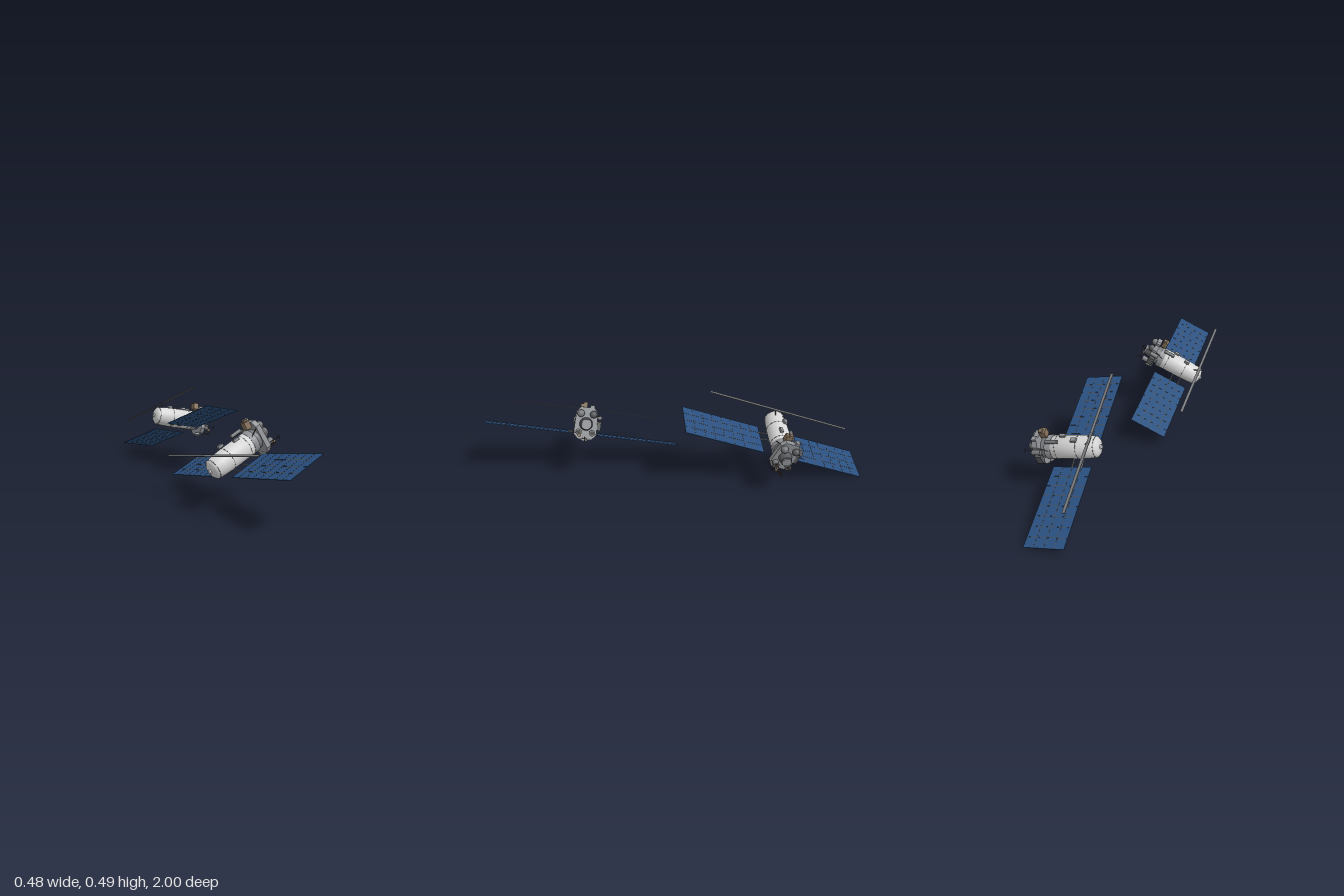
import * as THREE from 'three';

const mat = (name, color) => {
  const m = new THREE.MeshStandardMaterial({ color });
  m.name = name;
  return m;
};

export function createModel() {
  const white = mat('hull white', 0xd6d6d6);
  const grey = mat('mid grey', 0x8f9296);
  const steel = mat('steel grey', 0x75777a);
  const dark = mat('dark grey', 0x56585b);
  const black = mat('charcoal', 0x3a3530);
  const blue = mat('solar blue', 0x295080);
  const rib = mat('rib brown', 0x554a40);
  const brown = mat('foil brown', 0x84705a);
  const rust = mat('antenna brown', 0x5f4a3a);

  // Local frame of one satellite: x along the hull, y up, z along the solar wings
  function buildSatellite() {
    const g = new THREE.Group();
    const add = (name, geo, m, x = 0, y = 0, z = 0) => {
      const mesh = new THREE.Mesh(geo, m);
      mesh.name = name;
      mesh.position.set(x, y, z);
      g.add(mesh);
      return mesh;
    };
    const box = (name, m, sx, sy, sz, x, y, z) => add(name, new THREE.BoxGeometry(sx, sy, sz), m, x, y, z);
    const cylX = (name, m, r0, r1, len, x, y, z, seg = 20) =>
      add(name, new THREE.CylinderGeometry(r1, r0, len, seg).rotateZ(-Math.PI / 2), m, x, y, z);
    const rod = (name, m, a, b, r = 0.0015) => {
      const p = new THREE.Vector3(...a), q = new THREE.Vector3(...b), d = q.clone().sub(p);
      const mesh = add(name, new THREE.CylinderGeometry(r, r, d.length(), 6), m);
      mesh.position.copy(p).add(q).multiplyScalar(0.5);
      mesh.quaternion.setFromUnitVectors(new THREE.Vector3(0, 1, 0), d.normalize());
    };
    const AXIS = 0.06; // hull axis height

    // Hull: blunt domed tail and straight barrel
    const profile = [[0, -0.147], [0.02, -0.145], [0.038, -0.139], [0.05, -0.128], [0.0535, -0.09],
      [0.056, -0.04], [0.056, 0.1], [0, 0.1]].map(p => new THREE.Vector2(...p));
    add('hull', new THREE.LatheGeometry(profile, 36).rotateZ(-Math.PI / 2), white, 0, AXIS, 0);
    cylX('tailCap', white, 0.01, 0.011, 0.008, -0.149, AXIS, 0);
    cylX('neck', grey, 0.058, 0.058, 0.03, 0.105, AXIS, 0, 32);
    cylX('neckRear', steel, 0.05, 0.05, 0.03, 0.13, AXIS, 0, 32);

    // Hull bands with bolts
    for (const [x, r] of [[-0.127, 0.0507], [-0.04, 0.0565], [0.068, 0.0565]]) {
      cylX('hullBand', grey, r, r, 0.003, x, AXIS, 0, 36);
      for (let i = 0; i < 18; i++) {
        const a = i / 18 * Math.PI * 2;
        box('bandBolt', rib, 0.0025, 0.0025, 0.0025, x, AXIS + Math.cos(a) * r, Math.sin(a) * r);
      }
    }

    // Solar wings with cell grid on both faces
    for (const s of [-1, 1]) {
      const L = 0.435, mid = s * (0.073 + L / 2);
      box('solarPanel', blue, 0.2, 0.003, L, 0, 0, mid);
      for (let i = 1; i < 4; i++)
        box('panelRib', rib, 0.0018, 0.0042, L, -0.1 + i * 0.05, 0, mid);
      for (let i = 1; i < 8; i++)
        box('panelCrossRib', rib, 0.2, 0.0042, 0.0018, 0, 0, s * (0.073 + i * L / 8));
      for (const x of [-0.05, 0.0])
        rod('wingStrut', grey, [x, 0.012, 0], [x, 0.001, s * 0.08], 0.0035);
    }

    // Long radar strip over the tail
    const boom = [-0.115, 0.126];
    box('radarBoom', steel, 0.0145, 0.003, 0.81, boom[0], boom[1], 0);
    for (const s of [-1, 1])
      rod('boomBracket', dark, [-0.09, 0.105, s * 0.02], [boom[0], boom[1], s * 0.03], 0.003);

    // Equipment on top of the hull
    cylX('topCanister', steel, 0.009, 0.009, 0.06, 0.075, 0.128, -0.024, 14);
    for (const x of [0.052, 0.098]) rod('canisterPost', dark, [x, 0.108, -0.02], [x, 0.128, -0.024], 0.003);
    box('topBox', grey, 0.028, 0.012, 0.02, -0.035, 0.126, -0.012);
    rod('topBoxPost', dark, [-0.035, 0.11, -0.012], [-0.035, 0.122, -0.012], 0.003);
    box('sideBox', grey, 0.03, 0.012, 0.016, 0.035, 0.118, 0.022);
    box('foilBox', brown, 0.03, 0.036, 0.034, 0.122, 0.143, 0.018);
    box('foilBoxLid', brown, 0.018, 0.01, 0.02, 0.128, 0.165, 0.012);

    // Eight-sided bulkhead at the instrument end
    const oct = [[-0.058, 0.005], [-0.035, -0.02], [0.035, -0.02], [0.058, 0.005],
      [0.055, 0.12], [0.035, 0.145], [-0.035, 0.145], [-0.055, 0.12]].map(p => new THREE.Vector2(...p));
    const plate = new THREE.ExtrudeGeometry(new THREE.Shape(oct), { depth: 0.026, bevelEnabled: false });
    add('bulkhead', plate.rotateY(Math.PI / 2), grey, 0.143, 0, 0);

    // Instruments behind the bulkhead
    cylX('mainInstrument', dark, 0.034, 0.028, 0.034, 0.186, AXIS, 0, 20);
    cylX('mainInstrumentRim', grey, 0.024, 0.024, 0.008, 0.206, AXIS, 0, 20);
    for (const s of [-1, 1]) {
      add('upperTank', new THREE.SphereGeometry(0.019, 16, 12), s < 0 ? dark : steel, 0.178, 0.112, s * 0.032);
      cylX('lowerSensor', steel, 0.014, 0.016, 0.03, 0.184, 0.018, s * 0.034, 16);
      cylX('sensorLens', black, 0.01, 0.01, 0.003, 0.2, 0.018, s * 0.034, 16);
      rod('bulkheadBrace', dark, [0.1, 0.09, s * 0.05], [0.15, 0.118, s * 0.053], 0.002);
    }

    // Gear on the far flank
    box('flankBox', dark, 0.032, 0.045, 0.02, 0.152, 0.055, -0.067);
    cylX('flankTank', steel, 0.012, 0.012, 0.045, 0.15, 0.1, -0.066, 14);
    box('upperBox', grey, 0.024, 0.016, 0.022, 0.155, 0.15, -0.024);
    cylX('sensorCone', brown, 0.003, 0.009, 0.02, 0.205, 0.003, 0.03, 12);

    // Round dish under the bulkhead
    add('dish', new THREE.CylinderGeometry(0.018, 0.02, 0.012, 20), grey, 0.148, -0.022, 0);

    // Comb antenna: spine with crossed bars
    rod('combSpine', rust, [0.168, -0.012, 0], [0.234, -0.014, 0], 0.0014);
    for (let i = 0; i < 6; i++) {
      const x = 0.197 + i * 0.007;
      rod('combBar', rust, [x, -0.025, 0], [x, -0.002, 0], 0.0009);
      rod('combCrossBar', rust, [x, -0.0135, -0.012], [x, -0.0135, 0.012], 0.0009);
    }

    // Arrow antenna: rod with four swept tips
    const tip = [0.232, 0.0145, 0.06];
    rod('arrowMast', black, [0.16, 0.02, 0.053], tip, 0.0014);
    for (const [dy, dz] of [[1, 0], [-1, 0], [0, 1], [0, -1]])
      rod('arrowBarb', black, tip, [0.222, 0.0145 + dy * 0.013, 0.06 + dz * 0.013], 0.0011);
    rod('whipAntenna', black, [0.165, 0.1, -0.05], [0.215, 0.108, -0.06], 0.0012);
    rod('whipAntennaBar', black, [0.21, 0.108, -0.072], [0.21, 0.108, -0.046], 0.0012);
    return g;
  }

  // Two identical satellites, each with its own hull and wing directions
  const model = new THREE.Group();
  model.name = 'satellitePair';
  const placements = [
    { name: 'frontSatellite', at: [0.031, 0.204, 0.48], hull: [0.86, 0.43, -0.28], wing: [0.227, 0.192, 0.955] },
    { name: 'rearSatellite', at: [-0.005, 0.2035, -0.5275], hull: [0.95, -0.21, -0.225], wing: [0.277, 0.358, 0.891] },
  ];
  for (const p of placements) {
    const w = new THREE.Vector3(...p.wing).normalize();
    const n = w.clone().cross(new THREE.Vector3(...p.hull)).normalize();
    const u = n.clone().cross(w);
    const sat = buildSatellite();
    sat.name = p.name;
    sat.quaternion.setFromRotationMatrix(new THREE.Matrix4().makeBasis(u, n, w));
    sat.position.set(...p.at);
    model.add(sat);
  }
  return model;
}
